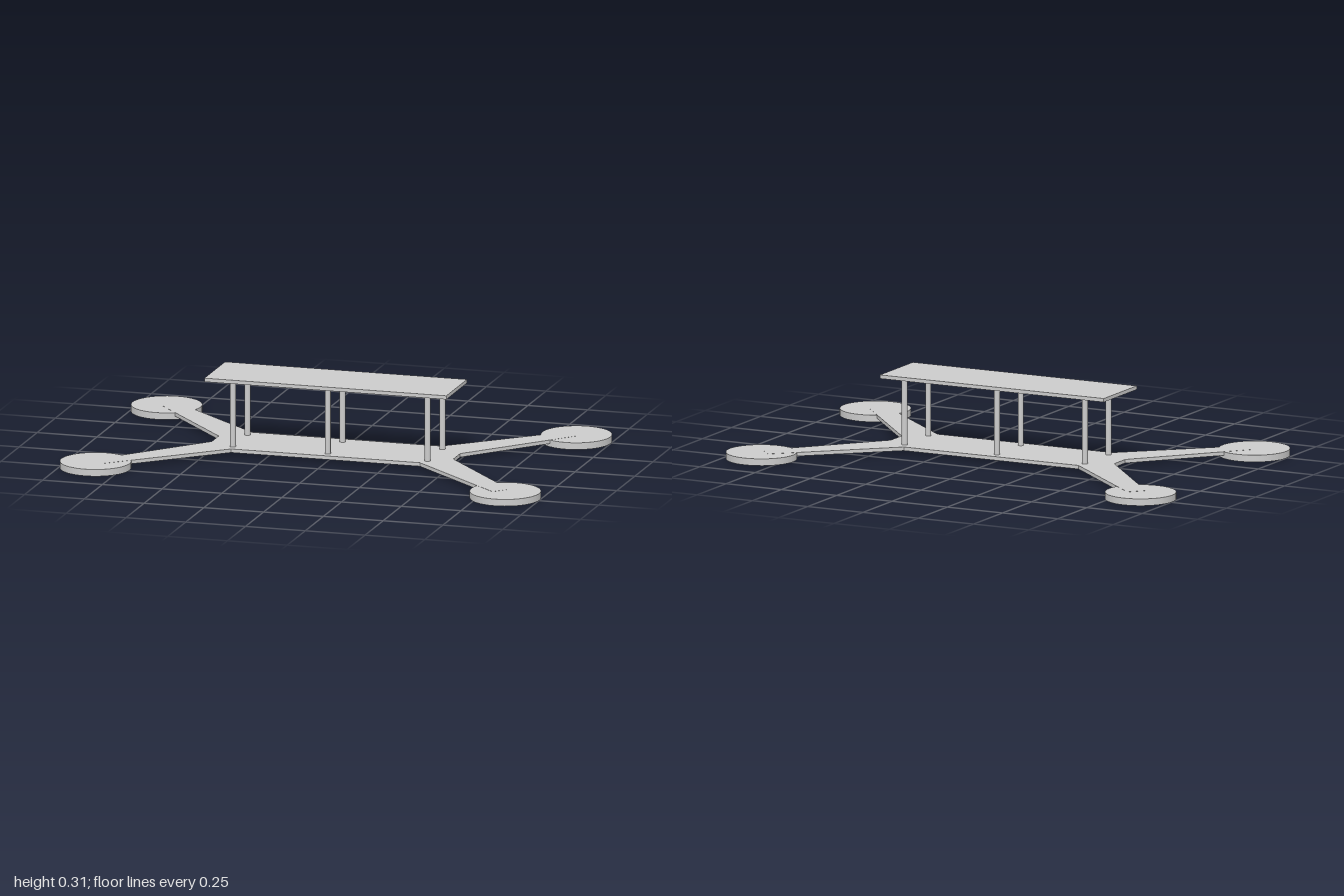
import * as THREE from 'three';

const DISC = { x: 0.857, z: 0.491, r: 0.143, h: 0.028 };
const PLATE = { y: 0.0135, h: 0.015 };
const DECK = { y: 0.297, h: 0.015, w: 1.012, d: 0.285 };

export function createModel() {
  const model = new THREE.Group();
  const material = new THREE.MeshStandardMaterial({ color: 0xcccccc });

  const add = (name, geometry, x, y, z) => {
    const mesh = new THREE.Mesh(geometry, material);
    mesh.name = name;
    mesh.position.set(x, y, z);
    model.add(mesh);
    return mesh;
  };

  // Lower plate: body and four tapered arms cut as one outline, mirrored per quadrant
  const arm = [[0.505, 0.047], [0.866, 0.462], [0.812, 0.52], [0.395, 0.145]];
  const back = [...arm].reverse();
  const outline = [
    ...arm,
    ...back.map(([x, z]) => [-x, z]),
    ...arm.map(([x, z]) => [-x, -z]),
    ...back.map(([x, z]) => [x, -z]),
  ].map(([x, z]) => new THREE.Vector2(x, z));
  const plate = new THREE.ExtrudeGeometry(new THREE.Shape(outline), {
    depth: PLATE.h, bevelEnabled: false,
  });
  plate.rotateX(-Math.PI / 2);
  add('framePlate', plate, 0, PLATE.y, 0);

  // Round pads at the arm tips
  const disc = new THREE.CylinderGeometry(DISC.r, DISC.r, DISC.h, 48);
  for (const sx of [-1, 1]) {
    for (const sz of [-1, 1]) {
      const name = `${sz > 0 ? 'front' : 'back'}${sx > 0 ? 'Left' : 'Right'}Pad`;
      add(name, disc, sx * DISC.x, DISC.h / 2, sz * DISC.z);
    }
  }

  // Six standoff posts in two rows
  const bottom = PLATE.y + PLATE.h / 2;
  const postHeight = DECK.y + 0.003 - bottom;
  const post = new THREE.CylinderGeometry(0.012, 0.012, postHeight, 20);
  for (const x of [-0.4, -0.003, 0.415]) {
    for (const z of [-0.1, 0.104]) add('post', post, x, bottom + postHeight / 2, z);
  }

  // Upper deck
  add('upperDeck', new THREE.BoxGeometry(DECK.w, DECK.h, DECK.d), -0.001, DECK.y + DECK.h / 2, 0.001);

  return model;
}
